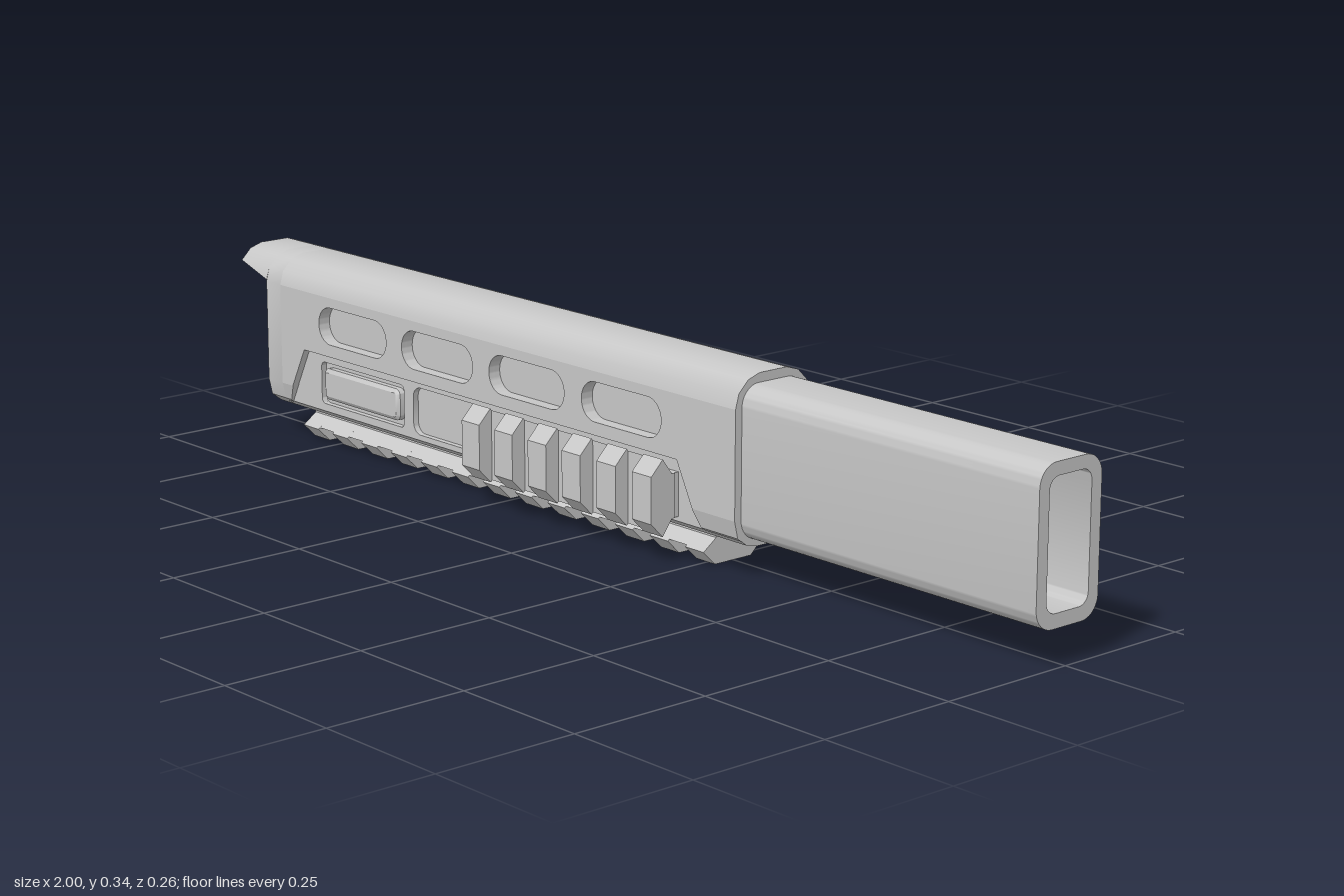
import * as THREE from 'three';
import { toCreasedNormals } from 'three/addons/utils/BufferGeometryUtils.js';

const metal = new THREE.MeshStandardMaterial({ color: 0xc6c6c6 });
metal.name = 'light grey metal';

function addMesh(parent, name, geometry) {
  const mesh = new THREE.Mesh(toCreasedNormals(geometry, 0.6), metal);
  mesh.name = name;
  parent.add(mesh);
  return mesh;
}

const polygon = (pts) => new THREE.Shape(pts.map(([x, y]) => new THREE.Vector2(x, y)));

// closed outline from its right half, listed bottom to top
const mirrored = (half) => polygon([...half, ...half.map(([x, y]) => [-x, y]).reverse()]);

function roundedRect(x0, x1, y0, y1, r) {
  const s = new THREE.Shape();
  s.absarc(x1 - r, y0 + r, r, -Math.PI / 2, 0);
  s.absarc(x1 - r, y1 - r, r, 0, Math.PI / 2);
  s.absarc(x0 + r, y1 - r, r, Math.PI / 2, Math.PI);
  s.absarc(x0 + r, y0 + r, r, Math.PI, Math.PI * 1.5);
  s.closePath();
  return s;
}

// cross-section (width, height) swept along x
function alongX(shape, x0, x1) {
  return new THREE.ExtrudeGeometry(shape, { depth: x1 - x0, bevelEnabled: false, curveSegments: 6 })
    .rotateY(Math.PI / 2).translate(x0, 0, 0);
}

// side outline (x, y) given thickness in z
function plate(shape, z0, z1) {
  return new THREE.ExtrudeGeometry(shape, { depth: z1 - z0, bevelEnabled: false, curveSegments: 8 })
    .translate(0, 0, z0);
}

// move vertices by a rule
function reshape(geometry, rule) {
  const p = geometry.attributes.position, v = new THREE.Vector3();
  for (let i = 0; i < p.count; i++) {
    v.fromBufferAttribute(p, i);
    rule(v);
    p.setXYZ(i, v.x, v.y, v.z);
  }
  return geometry;
}

// toothed accessory rail with its teeth pointing down
function makeRail(name, x0, teeth, pitch, width) {
  const rail = new THREE.Group();
  rail.name = name;
  const base = mirrored([[0.062, 0.0275], [0.038, 0.045], [0.038, 0.062]]);
  const tooth = mirrored([[0.04, 0], [0.0655, 0.025], [0.038, 0.045], [0.038, 0.052]]);
  addMesh(rail, 'railBase', alongX(base, x0 + 0.002, x0 + pitch * (teeth - 1) + width - 0.002));
  for (let i = 0; i < teeth; i++) {
    const x = x0 + i * pitch;
    addMesh(rail, 'railTooth', alongX(tooth, x, x + width));
  }
  return rail;
}

const BACK = -0.913, BODY = -0.87, FRONT = 0.36;
const ROOF = [[0.082, 0.285], [0.075, 0.31], [0.055, 0.33], [0.03, 0.338]];

function makeSide(name) {
  const side = new THREE.Group();
  side.name = name;
  const slots = [-0.753, -0.508, -0.263, -0.018].map((x) => roundedRect(x, x + 0.2, 0.198, 0.267, 0.034));

  // outer skin with the tapered recess cut out
  const outer = polygon([[BODY, 0.1], [-0.838, 0.1], [-0.8, 0.175], [0.22, 0.175],
    [0.258, 0.1], [FRONT, 0.1], [FRONT, 0.285], [BODY, 0.285]]);
  outer.holes.push(...slots);
  addMesh(side, 'outerSkin', plate(outer, 0.069, 0.082));

  // recessed panel with windows
  const panel = polygon([[BODY, 0.066], [FRONT, 0.066], [FRONT, 0.285], [BODY, 0.285]]);
  panel.holes.push(...slots,
    roundedRect(-0.765, -0.52, 0.08, 0.158, 0.01),
    roundedRect(-0.493, -0.29, 0.076, 0.162, 0.02));
  addMesh(side, 'recessedPanel', plate(panel, 0.057, 0.069));

  // raised pad in the first window
  addMesh(side, 'pad', new THREE.ExtrudeGeometry(roundedRect(-0.747, -0.538, 0.097, 0.141, 0.005),
    { depth: 0.011, bevelThickness: 0.005, bevelSize: 0.007, bevelSegments: 1 }).translate(0, 0, 0.058));

  // lower corner fillers with slanted ends
  const corner = polygon([[-0.068, 0.1], [-0.082, 0.1], [-0.075, 0.07], [-0.068, 0.0645]]);
  addMesh(side, 'rearCorner', reshape(alongX(corner, BODY, -0.8), (v) => {
    if (v.x > -0.85) v.x = -0.86 + (v.y - 0.055) * 0.5;
  }));
  addMesh(side, 'frontCorner', reshape(alongX(corner, 0.2, FRONT), (v) => {
    if (v.x < 0.3) v.x = 0.28 - (v.y - 0.055) * 0.5;
  }));

  const rail = makeRail('sideRail', -0.279, 6, 0.0888, 0.0475);
  rail.rotation.x = -Math.PI / 2;
  rail.position.set(0, 0.112, 0.13);
  side.add(rail);
  return side;
}

export function createModel() {
  const model = new THREE.Group();
  model.name = 'handguard';

  // hollow core with rounded roof and belly
  const core = mirrored([[0.03, 0.05], [0.055, 0.055], [0.069, 0.066], [0.058, 0.067],
    [0.058, 0.285], ...ROOF]);
  core.holes.push(roundedRect(-0.052, 0.052, 0.064, 0.321, 0.035));
  addMesh(model, 'core', alongX(core, BODY, FRONT));

  // thin-walled open end
  const collar = mirrored([[0.03, 0.05], [0.055, 0.055], [0.075, 0.07], [0.082, 0.1], ...ROOF]);
  collar.holes.push(roundedRect(-0.075, 0.075, 0.057, 0.328, 0.04));
  addMesh(model, 'openEnd', alongX(collar, BACK, BODY));

  // roof lip, its lower edge rising toward the tip
  const lip = polygon([[0.082, 0.288], [0.075, 0.31], [0.055, 0.33], [0.03, 0.338],
    [-0.03, 0.338], [-0.055, 0.33], [-0.075, 0.31], [-0.082, 0.288],
    [-0.073, 0.291], [-0.066, 0.307], [-0.05, 0.321], [-0.028, 0.328],
    [0.028, 0.328], [0.05, 0.321], [0.066, 0.307], [0.073, 0.291]]);
  addMesh(model, 'roofLip', reshape(alongX(lip, -1, BACK), (v) => {
    if (v.x < -0.95 && v.y < 0.309) {
      v.y = 0.31;
      if (Math.abs(v.z) > 0.07) v.z *= 0.075 / 0.082;
    }
  }));

  // front tube and its inner stop
  const tube = roundedRect(-0.068, 0.068, 0.063, 0.322, 0.036);
  tube.holes.push(roundedRect(-0.046, 0.046, 0.087, 0.3, 0.02));
  addMesh(model, 'frontTube', alongX(tube, 0.3, 1));
  addMesh(model, 'tubeStop', alongX(roundedRect(-0.05, 0.05, 0.083, 0.304, 0.02), 0.3, 0.31));

  // both sides
  model.add(makeSide('leftSide'));
  const other = makeSide('rightSide');
  other.scale.z = -1;
  model.add(other);

  model.add(makeRail('bottomRail', -0.829, 13, 0.0877, 0.045));
  return model;
}
